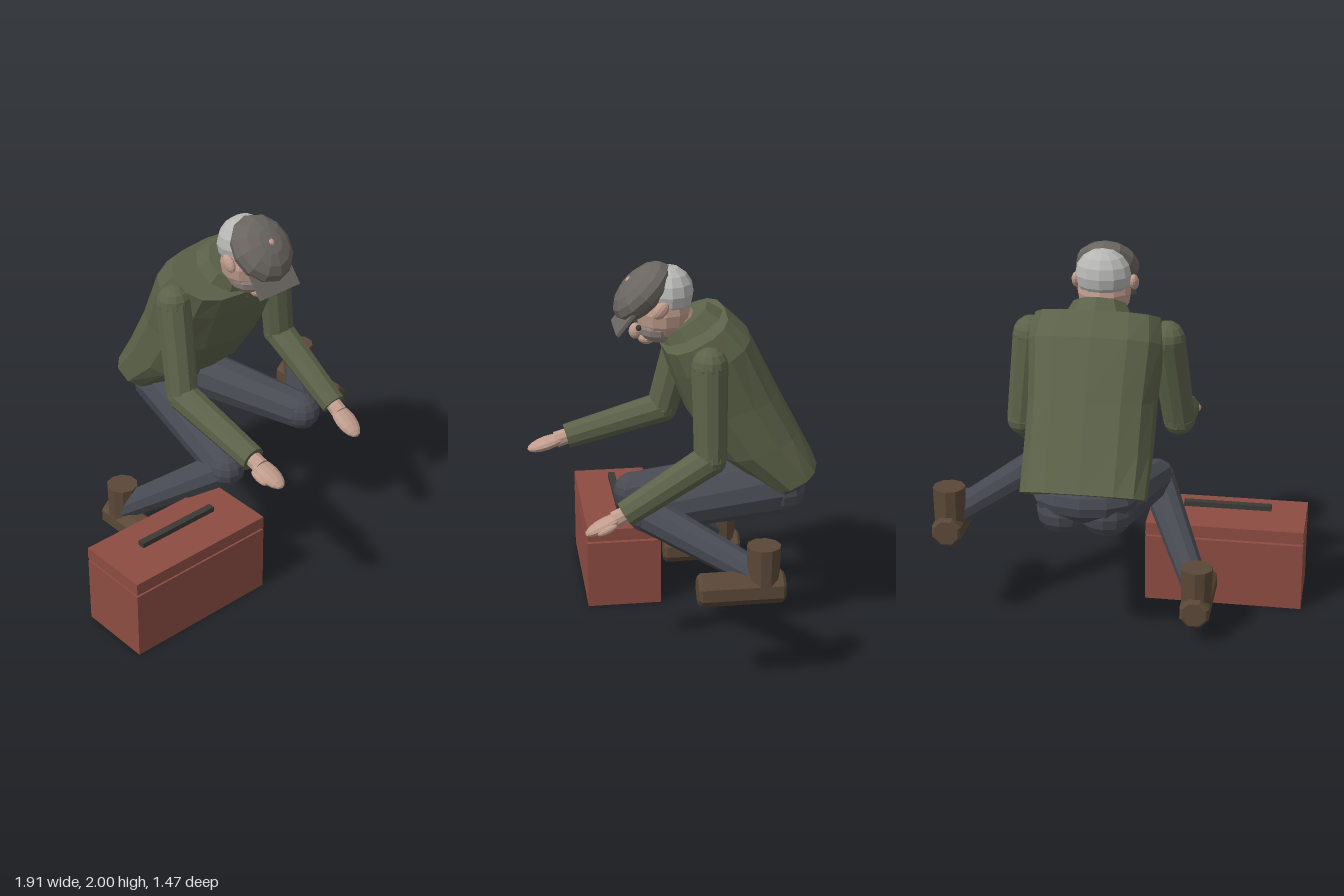
import * as THREE from 'three';

const mat = (color) => new THREE.MeshStandardMaterial({ color, flatShading: true });
const V = (x, y, z) => new THREE.Vector3(x, y, z);
const UP = V(0, 1, 0);

export function createModel() {
  const root = new THREE.Group();
  const jumper = mat(0x5c6249), trousers = mat(0x474a52), leather = mat(0x5a4837);
  const skin = mat(0xc09c8c), hair = mat(0xb6b6b3), felt = mat(0x6a6560);
  const stubble = mat(0x93857e), red = mat(0x8c4c42), dark = mat(0x3c3a36);
  const CX = 0.11; // body centre line

  const add = (name, geo, material, pos, parent = root) => {
    const m = new THREE.Mesh(geo, material);
    m.name = name;
    m.position.copy(pos);
    parent.add(m);
    return m;
  };
  const box = (name, w, h, d, material, pos) => add(name, new THREE.BoxGeometry(w, h, d), material, pos);
  const ball = (name, rx, ry, rz, material, pos, parent) => {
    const m = add(name, new THREE.SphereGeometry(1, 12, 8), material, pos, parent);
    m.scale.set(rx, ry, rz);
    return m;
  };
  // tapered tube from a to b
  const limb = (name, a, b, ra, rb, material, parent) => {
    const dir = b.clone().sub(a);
    const m = add(name, new THREE.CylinderGeometry(rb, ra, dir.length(), 10), material,
      a.clone().add(b).multiplyScalar(0.5), parent);
    m.quaternion.setFromUnitVectors(UP, dir.normalize());
    return m;
  };

  // Torso: tilted rounded sections [front z, front y, back z, back y, half width], hem to shoulders
  const sections = [
    [-0.48, 0.81, -0.74, 0.95, 0.32],
    [-0.23, 0.99, -0.64, 1.14, 0.325],
    [-0.07, 1.22, -0.53, 1.35, 0.325],
    [0.02, 1.45, -0.385, 1.64, 0.345],
    [0.06, 1.57, -0.27, 1.745, 0.325],
  ];
  const N = 14, pos = [], idx = [];
  const soft = (v, p) => Math.sign(v) * Math.abs(v) ** p;
  sections.forEach(([zf, yf, zb, yb, w]) => {
    for (let i = 0; i < N; i++) {
      const a = (i / N) * Math.PI * 2, t = (1 + soft(Math.cos(a), 0.75)) / 2;
      pos.push(CX + w * soft(Math.sin(a), 0.75), yb + (yf - yb) * t, zb + (zf - zb) * t);
    }
  });
  for (let s = 0; s < sections.length - 1; s++) {
    for (let i = 0; i < N; i++) {
      const a = s * N + i, b = s * N + (i + 1) % N;
      idx.push(a, b, b + N, a, b + N, a + N);
    }
  }
  const top = (sections.length - 1) * N;
  for (let i = 1; i < N - 1; i++) {
    idx.push(0, i + 1, i, top, top + i, top + i + 1);
  }
  const torso = new THREE.BufferGeometry();
  torso.setAttribute('position', new THREE.Float32BufferAttribute(pos, 3));
  torso.setIndex(idx);
  torso.computeVertexNormals();
  add('torso', torso, jumper, V(0, 0, 0));
  limb('collar', V(CX, 1.63, -0.11), V(CX, 1.71, -0.06), 0.19, 0.14, jumper);
  limb('neck', V(CX, 1.6, -0.1), V(CX, 1.76, 0.02), 0.09, 0.09, skin);

  // Head, bowed forward
  const head = new THREE.Group();
  head.name = 'head';
  root.add(head);
  ball('skull', 0.14, 0.16, 0.14, skin, V(CX, 1.75, 0.045), head);
  ball('stubbleJaw', 0.115, 0.085, 0.11, stubble, V(CX, 1.67, 0.07), head);
  ball('hair', 0.145, 0.135, 0.125, hair, V(CX, 1.845, 0.015), head);
  ball('nose', 0.032, 0.042, 0.035, skin, V(CX, 1.645, 0.185), head);
  ball('chin', 0.05, 0.035, 0.045, skin, V(CX, 1.61, 0.13), head);
  for (const s of [-1, 1]) {
    ball('ear', 0.025, 0.05, 0.035, skin, V(CX + s * 0.15, 1.79, 0.075), head).rotation.x = -0.7;
    ball('eye', 0.02, 0.015, 0.015, dark, V(CX + s * 0.05, 1.675, 0.175), head);
  }

  // Flat cap with peak
  ball('cap', 0.167, 0.1, 0.185, felt, V(CX, 1.852, 0.15)).rotation.x = 0.78;
  ball('capButton', 0.025, 0.025, 0.025, skin, V(CX, 1.905, 0.21));
  box('capPeak', 0.26, 0.018, 0.16, felt, V(CX, 1.722, 0.24)).rotation.x = 0.9;

  // Arms: shoulder, elbow, wrist, fingertip
  const arms = [
    ['rightArm', V(-0.24, 1.56, -0.12), V(-0.29, 1.08, 0.0), V(-0.27, 0.945, 0.52), V(-0.265, 0.88, 0.73), 1],
    ['leftArm', V(0.46, 1.56, -0.14), V(0.51, 1.09, -0.14), V(0.52, 0.82, 0.29), V(0.51, 0.715, 0.49), -1],
  ];
  for (const [name, shoulder, elbow, wrist, tip, inward] of arms) {
    const g = new THREE.Group();
    g.name = name;
    root.add(g);
    ball('shoulder', 0.092, 0.095, 0.092, jumper, shoulder, g);
    limb('upperArm', shoulder, elbow, 0.092, 0.083, jumper, g);
    ball('elbow', 0.084, 0.084, 0.084, jumper, elbow, g);
    limb('forearm', elbow, wrist, 0.083, 0.068, jumper, g);
    const dir = tip.clone().sub(wrist).normalize();
    limb('wrist', wrist.clone().addScaledVector(dir, -0.03), wrist.clone().addScaledVector(dir, 0.06), 0.042, 0.045, skin, g);
    const hand = ball('hand', 0.06, 0.11, 0.034, skin, tip.clone().addScaledVector(dir, -0.11), g);
    hand.quaternion.setFromUnitVectors(UP, dir);
    const thumb = ball('thumb', 0.02, 0.055, 0.02, skin,
      tip.clone().addScaledVector(dir, -0.12).add(V(-inward * 0.05, -0.012, 0)), g);
    thumb.quaternion.copy(hand.quaternion);
  }

  // Legs: hip, knee, ankle; each ends in a boot
  ball('pelvis', 0.27, 0.13, 0.17, trousers, V(CX, 0.86, -0.55));
  const legs = [
    ['rightLeg', V(0.0, 0.79, -0.55), V(-0.15, 0.66, 0.18), V(-0.435, 0.26, -0.33), 0.1],
    ['leftLeg', V(0.22, 0.79, -0.55), V(0.4, 0.77, 0.17), V(0.865, 0.6, -0.345), 0.47],
  ];
  for (const [name, hip, knee, ankle, sole] of legs) {
    const g = new THREE.Group();
    g.name = name;
    root.add(g);
    ball('hip', 0.14, 0.135, 0.14, trousers, hip, g);
    limb('thigh', hip, knee, 0.135, 0.1, trousers, g);
    ball('knee', 0.1, 0.1, 0.1, trousers, knee, g);
    limb('shin', knee, ankle, 0.095, 0.07, trousers, g);
    const { x } = ankle;
    limb('bootShaft', V(x, sole + 0.07, -0.35), V(x, sole + 0.3, -0.35), 0.08, 0.085, leather, g);
    // boot foot: eight-sided bar with bevelled ends
    const profile = [[0, -0.215], [0.068, -0.215], [0.083, -0.2], [0.083, 0.2], [0.068, 0.215], [0, 0.215]];
    const foot = new THREE.LatheGeometry(profile.map(([r, h]) => new THREE.Vector2(r, h)), 8, Math.PI / 8);
    foot.rotateX(Math.PI / 2);
    add('bootFoot', foot, leather, V(x, sole + 0.077, -0.24), g);
  }

  // Toolbox with separate lid and floating handle bar
  box('toolboxBody', 0.85, 0.375, 0.4, red, V(-0.535, 0.1875, 0.23));
  box('toolboxLid', 0.85, 0.068, 0.4, red, V(-0.535, 0.42, 0.23));
  box('toolboxHandle', 0.475, 0.028, 0.038, dark, V(-0.535, 0.498, 0.232));
  return root;
}
